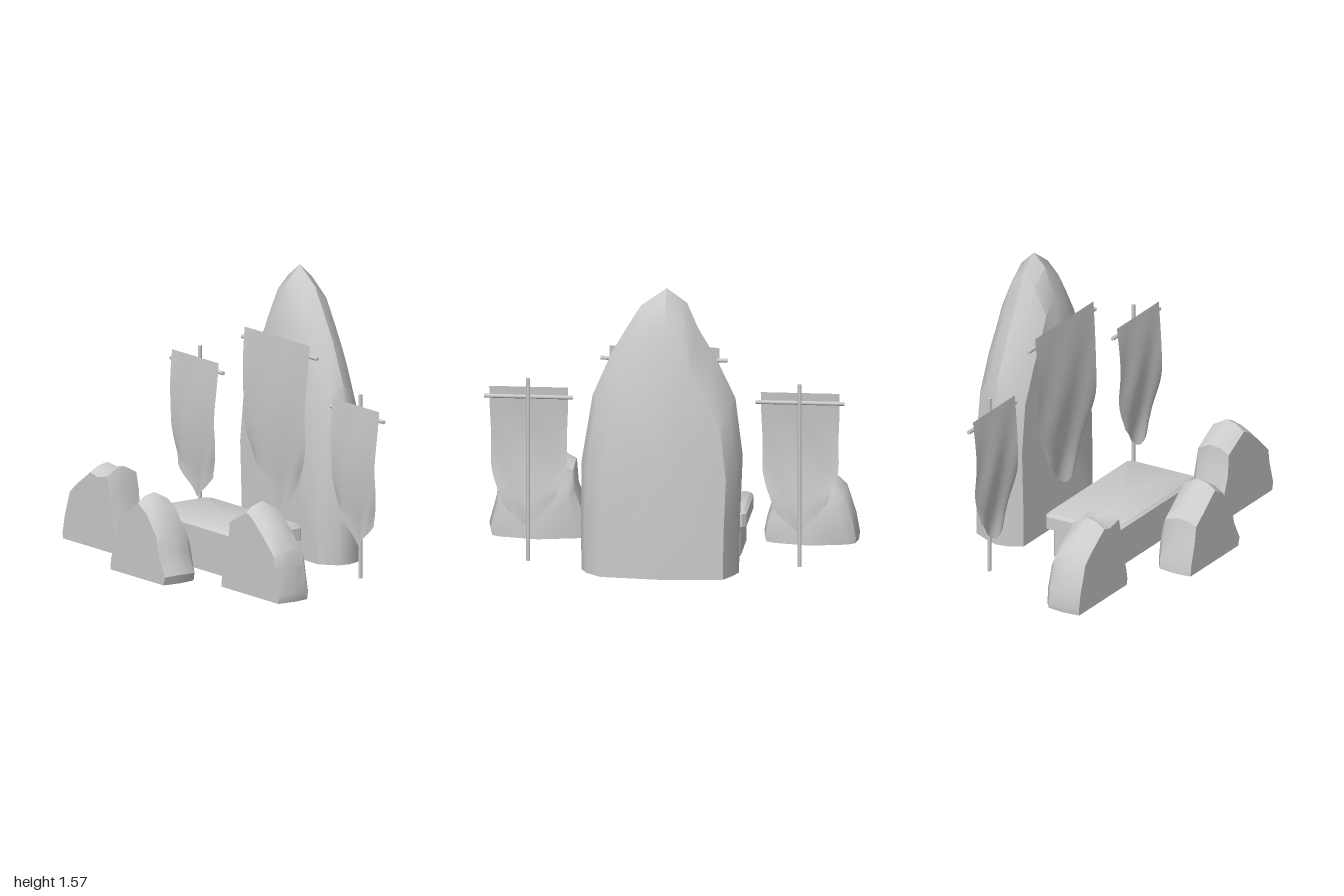
import * as THREE from 'three';
import { toCreasedNormals } from 'three/addons/utils/BufferGeometryUtils.js';

const grey = new THREE.MeshStandardMaterial({ color: 0xcccccc });
const clothGrey = new THREE.MeshStandardMaterial({ color: 0xcccccc, side: THREE.DoubleSide });

function add(parent, name, geometry, material = grey) {
  const mesh = new THREE.Mesh(geometry, material);
  mesh.name = name;
  parent.add(mesh);
  return mesh;
}

// Skin a counter-clockwise outline through rings running from high z to low z.
// Ring: [z, scaleX, scaleY, shiftX]; the last ring may lean and bow forward.
function loft(outline, rings, cx = 0, lean = 0, bow = 0) {
  const n = outline.length, pos = [], idx = [];
  const maxY = Math.max(...outline.map((p) => p[1]));
  const halfW = Math.max(...outline.map((p) => Math.abs(p[0] - cx)));
  rings.forEach(([z, sx, sy, dx = 0], r) => {
    const last = r === rings.length - 1 ? 1 : 0;
    for (const [x, y] of outline) {
      const dz = last * (lean * Math.abs(y / maxY) ** 3 + bow * ((x - cx) / halfW) ** 2);
      pos.push(cx + (x - cx) * sx + dx, y * sy, z + dz);
    }
  });
  for (let r = 0; r < rings.length - 1; r++) {
    for (let i = 0; i < n; i++) {
      const a = r * n + i, b = r * n + (i + 1) % n, c = b + n, d = a + n;
      idx.push(a, d, c, a, c, b);
    }
  }
  // End caps fan out from a middle point
  const my = outline.reduce((s, p) => s + p[1], 0) / n;
  [0, rings.length - 1].forEach((r, end) => {
    const [z, sx, sy, dx = 0] = rings[r], m = pos.length / 3;
    pos.push(cx + dx, my * sy * 0.85, z);
    for (let i = 0; i < n; i++) {
      const a = r * n + i, b = r * n + (i + 1) % n;
      if (end) idx.push(m, b, a); else idx.push(m, a, b);
    }
  });
  const g = new THREE.BufferGeometry();
  g.setAttribute('position', new THREE.Float32BufferAttribute(pos, 3));
  g.setIndex(idx);
  return toCreasedNormals(g, 0.7);
}

// Stone from a silhouette listed left to right over the top
function stone(silhouette, cx, rings, lean, bow) {
  return loft([...silhouette, [cx, 0]].reverse(), rings, cx, lean, bow);
}

// Rectangle with cut corners
function cutRect(w, d, c) {
  return [[-w + c, -d], [w - c, -d], [w, -d + c], [w, d - c],
    [w - c, d], [-w + c, d], [-w, d - c], [-w, -d + c]];
}

// Hanging cloth with wavy sides and a pointed hem
function cloth(halfW, length, narrowing) {
  const g = new THREE.PlaneGeometry(2, 1, 14, 18), p = g.attributes.position;
  for (let i = 0; i < p.count; i++) {
    const u = p.getX(i), v = 0.5 - p.getY(i);
    const taper = 1 - narrowing * THREE.MathUtils.smoothstep(v, 0.55, 1);
    const drop = length * (1 - 0.18 * Math.abs(u - 0.08) ** 1.3 * v);
    const wave = 0.02 * v * Math.sin(9 * v + 1.5 * u);
    p.setXYZ(i, u * halfW * (taper - 0.06 * v) + wave * halfW * 2, -drop * v,
      0.02 * Math.sin(Math.PI * Math.min(v * 1.15, 1)) + 0.012 * v * Math.sin(5 * u + 6 * v));
  }
  g.computeVertexNormals();
  return g;
}

function rod(parent, name, length, x, y, z, horizontal) {
  const m = add(parent, name, new THREE.CylinderGeometry(0.011, 0.011, length, 8), grey);
  m.position.set(x, y, z);
  if (horizontal) m.rotation.z = Math.PI / 2;
}

export function createModel() {
  const model = new THREE.Group();
  model.name = 'stoneShrine';

  // Tall standing stone
  const tall = [[-0.42, 0], [-0.425, 0.3], [-0.44, 0.65], [-0.4, 0.97], [-0.29, 1.2], [-0.2, 1.35],
    [-0.14, 1.49], [-0.03, 1.57], [0.11, 1.47], [0.19, 1.34], [0.27, 1.2], [0.37, 0.97],
    [0.43, 0.6], [0.435, 0.25], [0.43, 0]];
  add(model, 'standingStone', stone(tall, 0, [[-0.318, 0.82, 0.85, -0.02], [-0.39, 0.97, 0.955],
    [-0.46, 1, 1], [-0.54, 0.93, 0.95], [-0.658, 0.78, 0.85, -0.02]], 0.065, 0.035));

  // Small boulders: silhouette, centre x, front z, back z
  const boulders = [
    ['rightBoulder', -0.745, 0.42, 0.15, [[-0.995, 0], [-1, 0.03], [-0.98, 0.14], [-0.93, 0.3],
      [-0.87, 0.355], [-0.73, 0.455], [-0.67, 0.44], [-0.575, 0.46], [-0.55, 0.36],
      [-0.54, 0.25], [-0.5, 0.12], [-0.485, 0.04], [-0.49, 0]]],
    ['frontBoulder', 0.02, 0.655, 0.38, [[-0.24, 0], [-0.235, 0.06], [-0.2, 0.18], [-0.18, 0.3],
      [-0.1, 0.36], [0.02, 0.458], [0.1, 0.41], [0.2, 0.28], [0.22, 0.17], [0.28, 0.05], [0.265, 0]]],
    ['leftBoulder', 0.725, 0.42, 0.15, [[0.45, 0], [0.46, 0.1], [0.52, 0.28], [0.53, 0.41],
      [0.69, 0.5], [0.74, 0.475], [0.84, 0.39], [0.95, 0.28], [0.96, 0.2], [1, 0.05], [0.99, 0]]],
  ];
  for (const [name, cx, front, back, outline] of boulders) {
    const d = front - back;
    add(model, name, stone(outline, cx, [[front, 0.96, 0.9], [front - d * 0.17, 0.985, 0.97],
      [front - d * 0.4, 1, 1], [front - d * 0.72, 0.95, 0.9], [back, 0.78, 0.68]], 0.05, 0.045));
  }

  // Altar: plinth and chamfered slab
  const altar = new THREE.Group();
  altar.name = 'altar';
  altar.rotation.x = -Math.PI / 2;
  altar.position.z = 0.075;
  model.add(altar);
  add(altar, 'altarBase', loft(cutRect(0.395, 0.19, 0.014), [[0.18, 1, 1], [0, 1, 1]]));
  add(altar, 'altarSlab', loft(cutRect(0.43, 0.225, 0.022),
    [[0.26, 0.965, 0.933], [0.243, 1, 1], [0.173, 1, 1]]));

  // Large banner in front of the standing stone
  const large = new THREE.Group();
  large.name = 'largeBanner';
  model.add(large);
  add(large, 'largeCloth', cloth(0.297, 0.96, 0.3), clothGrey).position.set(0, 1.2, -0.287);
  rod(large, 'largeCrossbar', 0.685, 0, 1.135, -0.305, true);

  // Side banners on poles
  for (const side of [-1, 1]) {
    const banner = new THREE.Group();
    banner.name = side > 0 ? 'leftBanner' : 'rightBanner';
    banner.position.x = side * 0.733;
    model.add(banner);
    add(banner, 'bannerCloth', cloth(0.213, 0.77, 0.22), clothGrey).position.set(0, 0.957, -0.277);
    rod(banner, 'bannerCrossbar', 0.48, 0, 0.905, -0.288, true);
    rod(banner, 'bannerPole', 1.012, 0, 0.506, -0.306, false);
  }
  return model;
}
